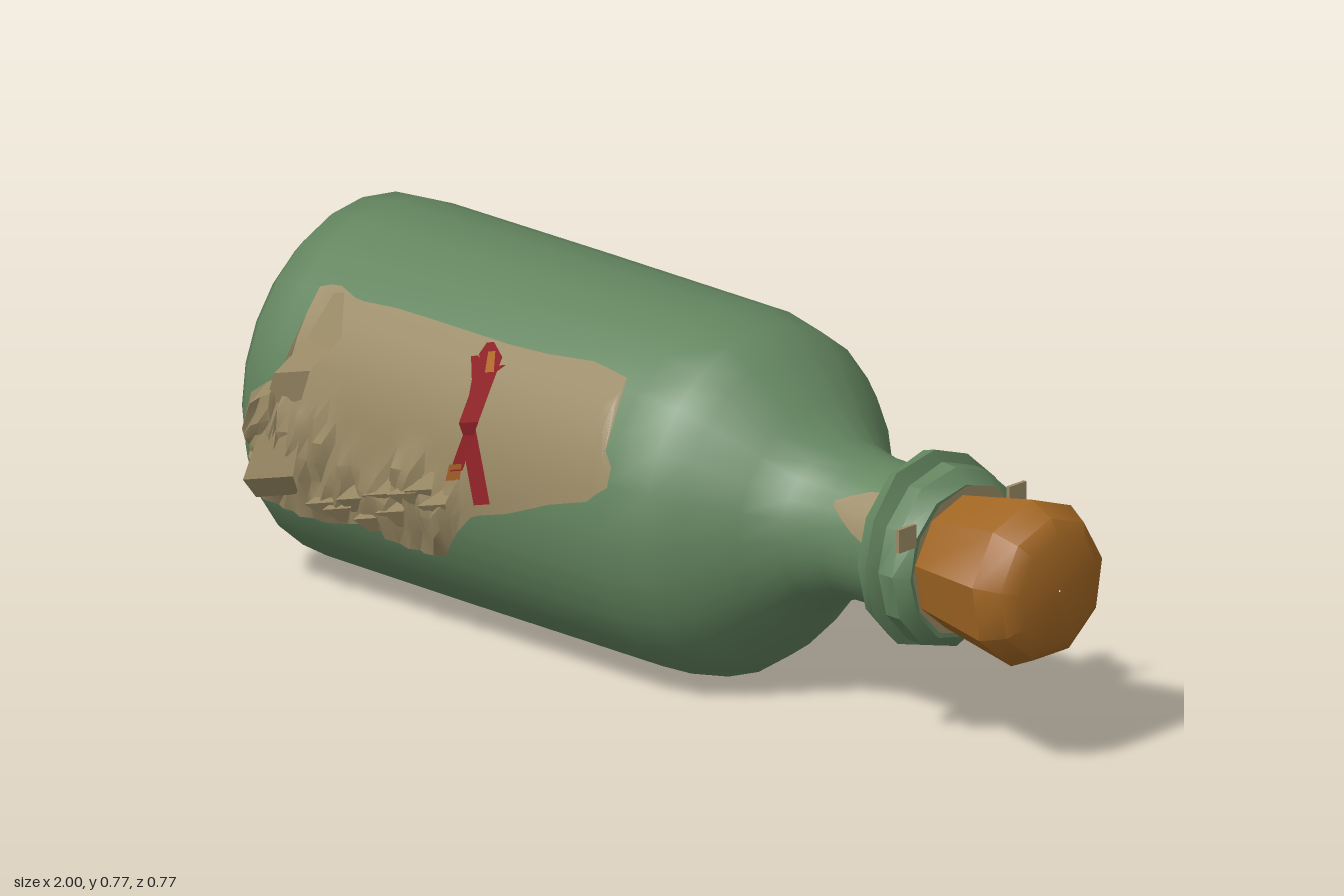
import * as THREE from 'three';
import { toCreasedNormals } from 'three/addons/utils/BufferGeometryUtils.js';

const mat = (name, color, side = THREE.FrontSide) => {
  const m = new THREE.MeshStandardMaterial({ color, side });
  m.name = name;
  return m;
};

// Piecewise linear lookup in rows sorted by their first entry
function lookup(rows, x, k) {
  const i = Math.max(1, rows.findIndex(r => r[0] >= x));
  const a = rows[i - 1], b = rows[i];
  const t = THREE.MathUtils.clamp((x - a[0]) / (b[0] - a[0]), 0, 1);
  return a[k] + (b[k] - a[k]) * t;
}

// Repeatable noise in 0..1
const hash = n => {
  const s = Math.sin(n * 127.1 + 3.7) * 43758.5453;
  return s - Math.floor(s);
};

// Grid of points (rows along u, columns along v) to a creased geometry
function grid(nu, nv, point, crease) {
  const pos = [], index = [];
  for (let i = 0; i <= nu; i++)
    for (let j = 0; j <= nv; j++) pos.push(...point(i, j));
  for (let i = 0; i < nu; i++)
    for (let j = 0; j < nv; j++) {
      const a = i * (nv + 1) + j, b = a + 1, c = a + nv + 1, d = c + 1;
      index.push(a, b, c, b, d, c);
    }
  const g = new THREE.BufferGeometry();
  g.setAttribute('position', new THREE.Float32BufferAttribute(pos, 3));
  g.setIndex(index);
  return toCreasedNormals(g, crease);
}

// Rings along x: [x, radius, centre y, centre z, front squash]
function loft(rings, sides, crease, wobble = 0) {
  return grid(rings.length - 1, sides, (i, j) => {
    const [x, r0, cy, cz, squash = 1] = rings[i];
    const k = j % sides, t = (k / sides) * Math.PI * 2;
    const r = r0 * (1 + wobble * (hash(k + i * 13) - 0.5));
    const s = Math.sin(t);
    return [x + wobble * 0.1 * (hash(k * 3 + i) - 0.5), cy + r * Math.cos(t), cz + r * s * (s > 0 ? squash : 1)];
  }, crease);
}

const BODY = [
  [-0.965, 0.002, 0.384, 0, 0.92], [-0.975, 0.25, 0.384, 0, 0.92], [-0.998, 0.29, 0.384, 0, 0.92],
  [-0.99, 0.335, 0.384, 0, 0.92], [-0.95, 0.375, 0.384, 0, 0.92], [-0.88, 0.381, 0.384, 0, 0.92],
  [-0.45, 0.383, 0.384, 0, 0.92], [0.06, 0.383, 0.384, 0, 0.92], [0.16, 0.365, 0.384, 0, 0.92],
  [0.22, 0.325, 0.386, 0, 0.92], [0.31, 0.235, 0.39, -0.005, 0.95], [0.38, 0.172, 0.393, -0.01, 1],
  [0.46, 0.149, 0.4, -0.014, 1], [0.62, 0.146, 0.4, -0.014, 1],
];
const OUTER = BODY.slice(3);

// Depth of the bottle's front at a given x and y
function frontZ(x, y) {
  const [r, cy, cz, sq] = [1, 2, 3, 4].map(k => lookup(OUTER, x, k));
  return cz + sq * Math.sqrt(Math.max(0, r * r - (y - cy) ** 2));
}

// Sheet on the front between lower and upper edges: rows of [x, bottom, top]
function sheet(edges, nu, nv, lift) {
  const x0 = edges[0][0], x1 = edges[edges.length - 1][0];
  return grid(nu, nv, (i, j) => {
    const x = x0 + (x1 - x0) * i / nu;
    const lo = lookup(edges, x, 1), hi = lookup(edges, x, 2);
    const y = hi + (lo - hi) * j / nv;
    return [x, y, frontZ(x, y) + lift(x, y, i * 31 + j)];
  }, 0.5);
}

// Narrow flat band through points, with a width at each: [x, y, z, width]
function band(pts) {
  return grid(pts.length - 1, 1, (i, j) => {
    const [x, y, z, w] = pts[i];
    return [x + (j - 0.5) * w, y + (j - 0.5) * w * 0.3, z];
  }, 0.4);
}

export function createModel() {
  const glass = mat('green glass', 0x63855f);
  const cork = mat('cork', 0xa06522);
  const paper = mat('old paper', 0x9a8a65, THREE.DoubleSide);
  const red = mat('red ribbon', 0x8c2126, THREE.DoubleSide);
  const orange = mat('orange ribbon end', 0xb0682a, THREE.DoubleSide);
  const model = new THREE.Group();
  model.name = 'bottleWithScroll';
  const add = (name, geometry, material) => {
    const m = new THREE.Mesh(geometry, material);
    m.name = name;
    model.add(m);
    return m;
  };

  // Bottle and its two-step lip
  add('bottleBody', loft(BODY, 24, 0.75), glass);
  add('lipRing', loft([
    [0.605, 0.14, 0.4, -0.012], [0.61, 0.195, 0.405, -0.012], [0.64, 0.205, 0.405, -0.012],
    [0.655, 0.165, 0.402, -0.012],
  ], 12, 0.5, 0.07), glass);
  add('mouthRing', loft([
    [0.65, 0.16, 0.4, -0.012], [0.662, 0.188, 0.4, -0.012], [0.7, 0.188, 0.4, -0.012],
    [0.73, 0.165, 0.395, -0.012], [0.728, 0.13, 0.395, -0.012],
  ], 12, 0.5, 0.06), glass);

  // Cork stopper
  add('corkStopper', loft([
    [0.7, 0.137, 0.4, 0], [0.74, 0.142, 0.4, 0], [0.92, 0.176, 0.4, -0.006],
    [0.975, 0.15, 0.4, -0.005], [0.998, 0.115, 0.4, -0.005], [0.999, 0.002, 0.4, -0.005],
  ], 9, 0.65), cork);

  // Scroll on the front, crumpled at its lower left
  add('scroll', sheet([
    [-0.93, 0.26, 0.39], [-0.9, 0.2, 0.46], [-0.845, 0.2, 0.49], [-0.835, 0.2, 0.66], [-0.79, 0.195, 0.675],
    [-0.72, 0.2, 0.66], [-0.62, 0.23, 0.667], [-0.5, 0.2, 0.668], [-0.4, 0.21, 0.668], [-0.36, 0.27, 0.668],
    [-0.3, 0.33, 0.668], [-0.2, 0.36, 0.672], [-0.08, 0.41, 0.683], [0.02, 0.44, 0.675], [0.035, 0.455, 0.56],
    [0.07, 0.48, 0.52],
  ], 40, 10, (x, y, n) => {
    const crumpled = x < -0.34 && y < 0.39 || x < -0.72 && y < 0.46;
    return 0.007 + (crumpled ? 0.022 * hash(n) : 0);
  }), paper);

  // Curled sheet and loose folds
  const curl = [
    [-0.83, 0.44, 0.355, 0.1], [-0.79, 0.52, 0.37, 0.1], [-0.745, 0.59, 0.325, 0.1], [-0.76, 0.67, 0.265, 0.03],
  ];
  add('curledEdge', band(curl), paper);
  add('foldedCorner', band([
    [-0.86, 0.23, 0.34, 0.12], [-0.85, 0.28, 0.378, 0.14], [-0.83, 0.37, 0.368, 0.12], [-0.78, 0.47, 0.35, 0.03],
  ]), paper);
  for (let i = 0; i < 9; i++) {
    const x = -0.72 + i * 0.042, y = 0.25 + 0.11 * hash(i + 5);
    const z = frontZ(x, y) + 0.01;
    add('paperFold', band([
      [x, y - 0.035, z - 0.005, 0.02], [x + 0.02 * (hash(i) - 0.5), y, z + 0.018, 0.08],
      [x + 0.02, y + 0.04, z, 0.015],
    ]), paper);
  }

  // Paper seen at the neck, in the mouth and through the base
  add('neckPaper', sheet([[0.48, 0.485, 0.495], [0.54, 0.45, 0.52], [0.615, 0.42, 0.53]], 4, 4, () => 0.007), paper);
  add('mouthPaper', new THREE.RingGeometry(0.125, 0.158, 12), paper)
    .position.set(0.733, 0.4, -0.012);
  model.children[model.children.length - 1].rotation.y = Math.PI / 2;
  for (const [z, y] of [[0.165, 0.49], [-0.155, 0.5]]) {
    const scrap = add('mouthScrap', new THREE.BoxGeometry(0.008, 0.05, 0.05), paper);
    scrap.position.set(0.733, y, z);
  }
  add('basePaper', grid(4, 14, (i, j) => {
    const k = j % 14, t = k / 14 * Math.PI * 2;
    const r = i / 4 * 0.13 * (1 + 0.25 * (hash(k) - 0.5));
    const bump = i > 0 && i < 4 ? 0.012 * hash(i * 17 + k) : 0;
    return [-0.98 - bump, 0.335 + r * Math.cos(t), r * Math.sin(t)];
  }, 0.3), paper);

  // Ribbon tied around the scroll
  add('ribbonTop', band([
    [-0.345, 0.665, 0.255, 0.02], [-0.33, 0.64, 0.275, 0.075], [-0.31, 0.58, 0.325, 0.055],
    [-0.305, 0.53, 0.36, 0.055], [-0.31, 0.5, 0.355, 0.03],
  ]), red);
  add('ribbonLoop', band([[-0.37, 0.635, 0.275, 0.02], [-0.32, 0.61, 0.31, 0.05], [-0.28, 0.64, 0.285, 0.015]]), red);
  add('ribbonRightTail', band([
    [-0.31, 0.51, 0.352, 0.035], [-0.285, 0.45, 0.365, 0.045], [-0.245, 0.375, 0.384, 0.045],
  ]), red);
  add('ribbonLeftTail', band([
    [-0.305, 0.52, 0.352, 0.03], [-0.325, 0.45, 0.362, 0.035], [-0.335, 0.42, 0.365, 0.035],
  ]), red);
  add('ribbonEnd', band([[-0.335, 0.435, 0.367, 0.035], [-0.35, 0.395, 0.36, 0.04]]), orange);
  add('ribbonTip', band([[-0.325, 0.655, 0.272, 0.02], [-0.3, 0.625, 0.305, 0.025]]), orange);
  return model;
}
